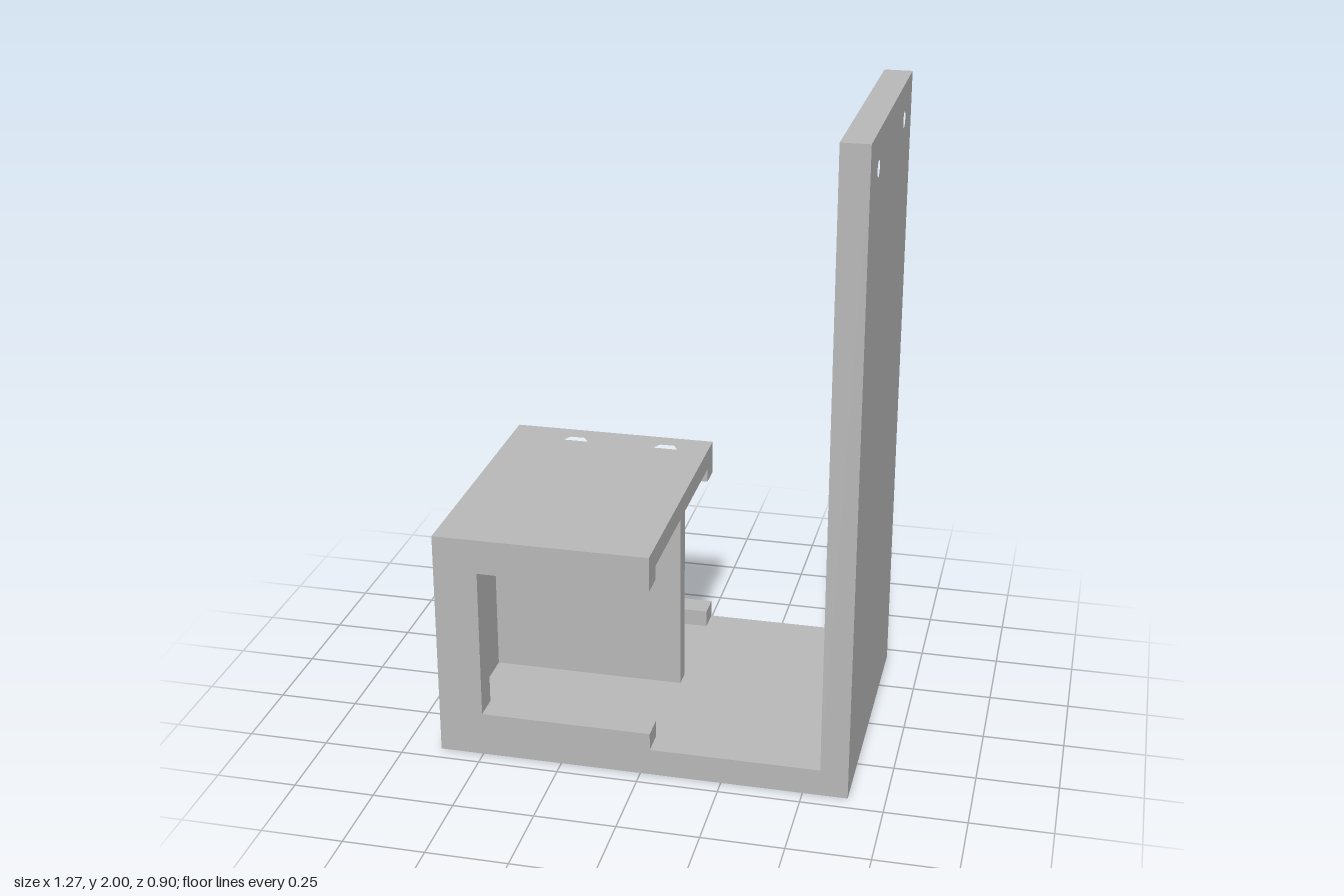
import * as THREE from 'three';
import { toCreasedNormals } from 'three/addons/utils/BufferGeometryUtils.js';

const grey = new THREE.MeshStandardMaterial({ color: 0xb8b8b8 });
grey.name = 'grey plastic';

// Main dimensions
const LEFT = -0.637, RIGHT = 0.637, HALF = 0.45;
const BLOCK = 0.03;             // open end of the housing
const WALL = -0.58, LIP = -0.5; // recessed and outer faces of the end wall
const PANEL = 0.552;            // inner face of the tall panel
const MID = 0.03, FRONT = 0.366, BACK = -0.37;

const rect = (x0, x1, z0, z1) => [[x0, z0], [x1, z0], [x1, z1], [x0, z1]];

// Regular polygon; 6 sides gives a nut, 32 a round hole
function ring(cx, cz, r, sides) {
  return Array.from({ length: sides }, (_, i) => {
    const a = (i / sides) * Math.PI * 2;
    return [cx + r * Math.cos(a), cz + r * Math.sin(a)];
  });
}

const path = (pts, Type) => new Type(pts.map(([a, b]) => new THREE.Vector2(a, -b)));

function extrude(outline, holes, depth) {
  const shape = path(outline, THREE.Shape);
  shape.holes = holes.map((h) => path(h, THREE.Path));
  return new THREE.ExtrudeGeometry(shape, { depth, bevelEnabled: false });
}

export function createModel() {
  const group = new THREE.Group();

  const add = (name, geometry) => {
    const mesh = new THREE.Mesh(toCreasedNormals(geometry, 0.5), grey);
    mesh.name = name;
    group.add(mesh);
  };

  // Horizontal layer drawn in x and z, from y0 up to y1
  const layer = (name, y0, y1, outline, holes = []) =>
    add(name, extrude(outline, holes, y1 - y0).rotateX(-Math.PI / 2).translate(0, y0, 0));

  const boltX = [-0.415, -0.11], boltZ = [-0.347, 0.347], boltR = 0.024;
  const bolts = boltX.flatMap((x) => boltZ.map((z) => [x, z]));

  // Base with two shallow trays
  layer('baseFloor', 0, 0.055, rect(LEFT, RIGHT, -HALF, HALF));
  layer('trayRim', 0.055, 0.085, rect(LEFT, RIGHT, -HALF, HALF), [
    rect(WALL, 0.5, BACK, -MID),
    rect(WALL, 0.5, MID, FRONT),
  ]);

  // Bolt holes just cut into the front upper lip
  const bites = boltX.flatMap((x) => {
    const start = Math.asin((FRONT - 0.347) / boltR);
    return Array.from({ length: 9 }, (_, i) => {
      const a = Math.PI - start - (i / 8) * (Math.PI - 2 * start);
      return [x + boltR * Math.cos(a), 0.347 + boltR * Math.sin(a)];
    });
  });

  // Housing section with end wall, centre divider and both lips
  const lips = (bite) => [
    [LEFT, -HALF], [BLOCK, -HALF], [BLOCK, BACK], [WALL, BACK],
    [WALL, -MID], [BLOCK, -MID], [BLOCK, MID], [WALL, MID],
    [WALL, FRONT], ...bite, [BLOCK, FRONT], [BLOCK, HALF], [LEFT, HALF],
  ];
  layer('lowerLips', 0.085, 0.14, lips([]));
  layer('endWallAndDivider', 0.14, 0.62, [
    [LEFT, -HALF], [LIP, -HALF], [LIP, BACK], [WALL, BACK],
    [WALL, -MID], [BLOCK, -MID], [BLOCK, MID], [WALL, MID],
    [WALL, FRONT], [LIP, FRONT], [LIP, HALF], [LEFT, HALF],
  ]);
  layer('upperLips', 0.62, 0.665, lips(bites));

  // Roof: round bolt holes below hexagonal nut pockets
  const roof = rect(LEFT, BLOCK, -HALF, HALF);
  layer('roofLower', 0.665, 0.69, roof, bolts.map(([x, z]) => ring(x, z, boltR, 32)));
  layer('roofNutPockets', 0.69, 0.73, roof, bolts.map(([x, z]) => ring(x, z, 0.047, 6)));

  // Tall panel with two mounting holes, drawn in z and y and extruded along x
  const panel = extrude(
    rect(-HALF, HALF, -2, -0.085),
    [-0.283, 0.283].map((z) => ring(z, -1.89, 0.024, 32)),
    RIGHT - PANEL
  );
  add('tallPanel', panel.rotateY(Math.PI / 2).translate(PANEL, 0, 0));

  return group;
}
